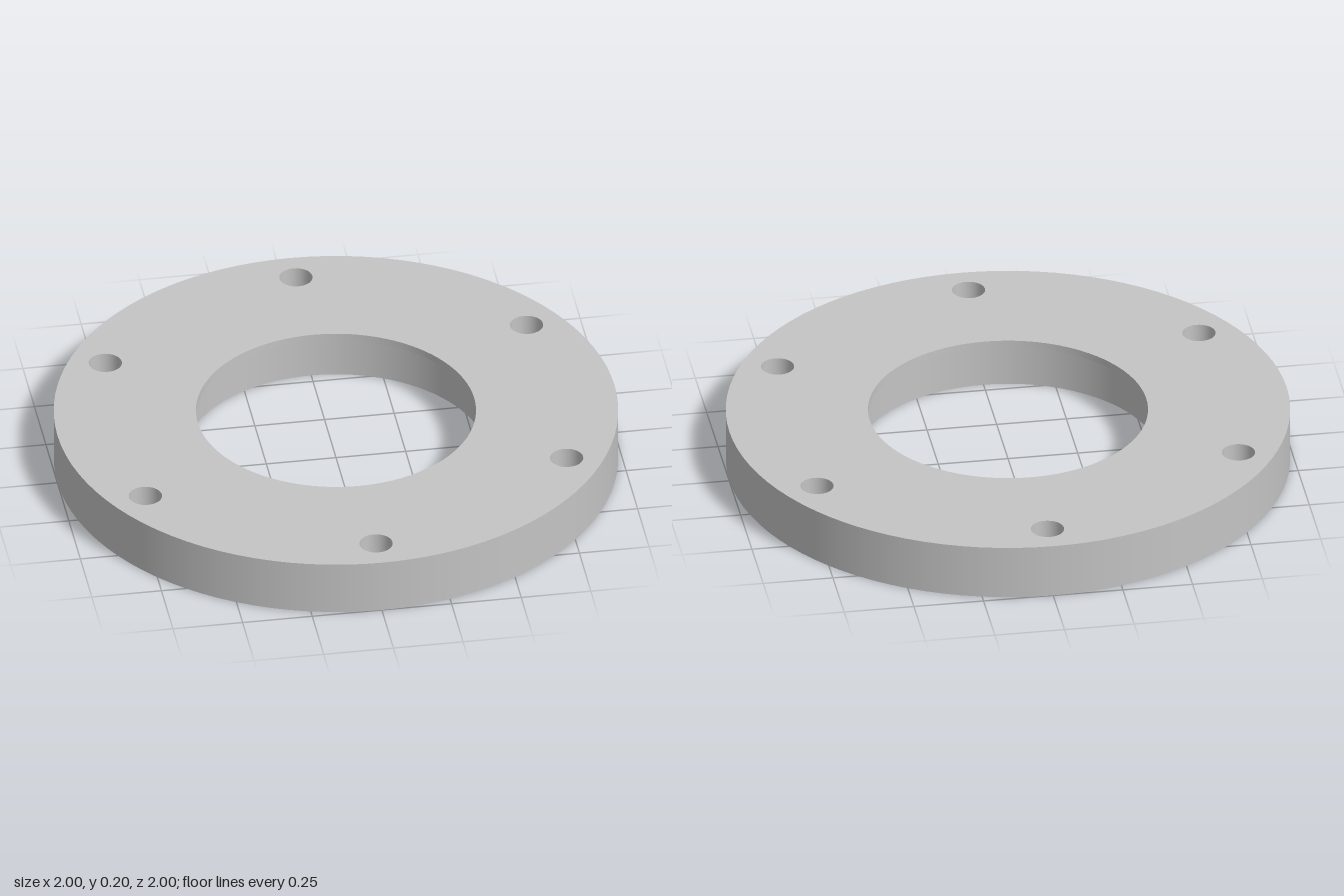
import * as THREE from 'three';

const H = 0.2, LEDGE = 0.174, POCKET = 0.09;           // heights
const R_OUT = 1, R_LIP = 0.496, R_BORE = 0.54;         // ring radii
const R_HOLE = 0.059, R_HEX = 0.101, R_BOLTS = 0.873;  // bolt holes
const SEG = 96, HOLE_SEG = 32;

// Closed polygon points around a centre
const polygon = (r, n, cx = 0, cy = 0) => Array.from({ length: n }, (_, i) => {
  const a = (i / n) * Math.PI * 2;
  return new THREE.Vector2(cx + r * Math.cos(a), cy + r * Math.sin(a));
});

// Horizontal plate with holes, facing up or down
function plate(outline, holes, y, up) {
  const shape = new THREE.Shape(outline);
  holes.forEach((h) => shape.holes.push(new THREE.Path(h)));
  return new THREE.ShapeGeometry(shape).rotateX(up ? -Math.PI / 2 : Math.PI / 2).translate(0, y, 0);
}

// Upright wall: faces outward when it runs upward, inward when it runs downward
const wall = (r, y0, y1, seg, start = 0) => new THREE.LatheGeometry(
  [new THREE.Vector2(r, y0), new THREE.Vector2(r, y1)], seg, start);

export function createModel() {
  const model = new THREE.Group();
  model.name = 'flangeRing';
  const grey = new THREE.MeshStandardMaterial({ color: 0xc4c4c4 });
  grey.name = 'light grey';

  const add = (parent, name, geometry) => {
    const mesh = new THREE.Mesh(geometry, grey);
    mesh.name = name;
    parent.add(mesh);
    return mesh;
  };

  const centres = Array.from({ length: 6 }, (_, i) => {
    const a = Math.PI / 6 + (i * Math.PI) / 3;
    return [R_BOLTS * Math.cos(a), R_BOLTS * Math.sin(a)];
  });

  // Ring body
  add(model, 'topFace', plate(polygon(R_OUT, SEG),
    [polygon(R_LIP, SEG), ...centres.map(([x, z]) => polygon(R_HOLE, HOLE_SEG, x, z))], H, true));
  add(model, 'bottomFace', plate(polygon(R_OUT, SEG),
    [polygon(R_BORE, SEG), ...centres.map(([x, z]) => polygon(R_HEX, 6, x, z))], 0, false));
  add(model, 'outerWall', wall(R_OUT, 0, H, SEG));

  // Stepped bore with a thin lip at the top
  add(model, 'boreWall', wall(R_BORE, LEDGE, 0, SEG));
  add(model, 'lipWall', wall(R_LIP, H, LEDGE, SEG));
  add(model, 'lipUnderside', plate(polygon(R_BORE, SEG), [polygon(R_LIP, SEG)], LEDGE, false));

  // Bolt holes opening into hexagonal nut pockets underneath
  const holeWall = wall(R_HOLE, H, POCKET, HOLE_SEG);
  const pocketWall = wall(R_HEX, POCKET, 0, 6, Math.PI / 6).toNonIndexed();
  pocketWall.computeVertexNormals();
  const pocketCeiling = plate(polygon(R_HEX, 6), [polygon(R_HOLE, HOLE_SEG)], POCKET, false);
  centres.forEach(([x, z], i) => {
    const bolt = new THREE.Group();
    bolt.name = `boltHole${i + 1}`;
    bolt.position.set(x, 0, z);
    add(bolt, 'holeWall', holeWall);
    add(bolt, 'nutPocketWall', pocketWall);
    add(bolt, 'nutPocketCeiling', pocketCeiling);
    model.add(bolt);
  });
  return model;
}
